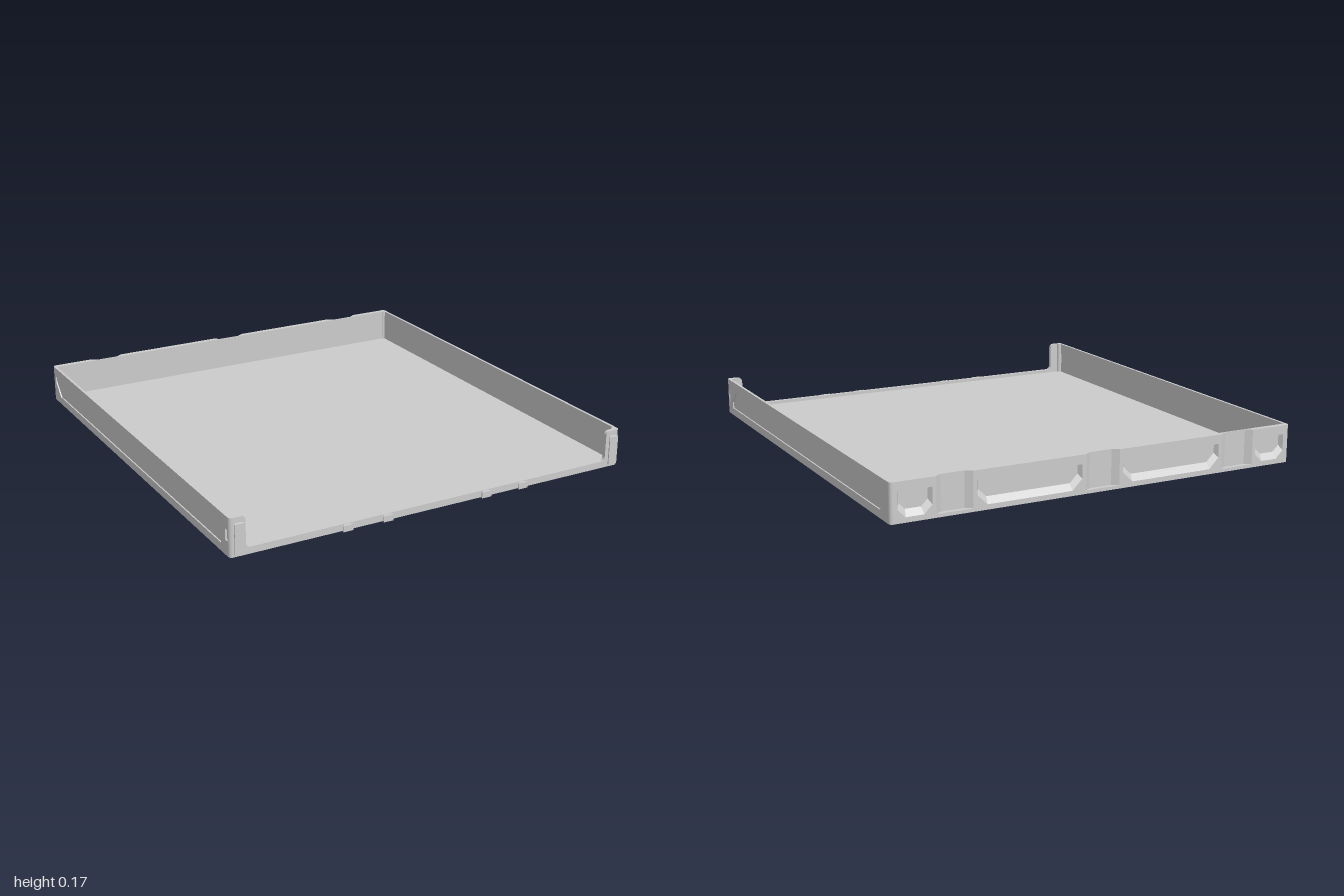
import * as THREE from 'three';

const W = 0.945, H = 0.168, BACK = -1, FRONT = 0.985, R = 0.015, FLOOR = 0.015;

export function createModel() {
  const root = new THREE.Group();
  const grey = new THREE.MeshStandardMaterial({ color: 0xcccccc });
  const thin = new THREE.MeshStandardMaterial({ color: 0xcccccc, side: THREE.DoubleSide, flatShading: true });

  const add = (name, geometry, x = 0, y = 0, z = 0, material = grey) => {
    const mesh = new THREE.Mesh(geometry, material);
    mesh.name = name;
    mesh.position.set(x, y, z);
    root.add(mesh);
    return mesh;
  };
  const poly = (pts) => new THREE.Shape(pts.map(([x, y]) => new THREE.Vector2(x, y)));
  const rect = (x0, x1, y0, y1) => [[x0, y0], [x1, y0], [x1, y1], [x0, y1]];
  const plate = (outline, depth, holes = []) => {
    const shape = poly(outline);
    shape.holes = holes.map(poly);
    return new THREE.ExtrudeGeometry(shape, { depth, bevelEnabled: false, curveSegments: 6 });
  };
  // Extrudes a plan outline (x, z) upwards
  const rise = (shape, height) =>
    new THREE.ExtrudeGeometry(shape, { depth: height, bevelEnabled: false, curveSegments: 6 })
      .rotateX(Math.PI / 2).translate(0, height, 0);

  // Floor with rounded corners
  const plan = new THREE.Shape();
  plan.moveTo(-W + R, BACK).lineTo(W - R, BACK);
  plan.absarc(W - R, BACK + R, R, -Math.PI / 2, 0);
  plan.absarc(W - R, FRONT - R, R, 0, Math.PI / 2);
  plan.absarc(-W + R, FRONT - R, R, Math.PI / 2, Math.PI);
  plan.absarc(-W + R, BACK + R, R, Math.PI, Math.PI * 1.5);
  add('floor', rise(plan, FLOOR));

  // Side walls: outer sheet cut by the long panel, inner sheet behind it
  const wall = rect(BACK + R, FRONT - R, 0, H);
  const slot = rect(0.947, 0.966, 0.064, 0.112);
  const panel = [[-0.905, 0.035], [0.91, 0.035], [0.91, 0.065], [0.855, 0.122], [-0.967, 0.122], [-0.967, 0.095]];
  const outerT = 0.006, innerT = 0.006;
  for (const s of [-1, 1]) {
    const outer = plate(wall, outerT, [panel, slot]).rotateY(-Math.PI / 2);
    const inner = plate(wall, innerT, [slot]).rotateY(-Math.PI / 2);
    add('sideWall', outer, s > 0 ? W : -W + outerT);
    add('sideWallBacking', inner, s > 0 ? W - outerT : -W + outerT + innerT);
    // Rounded corner posts
    for (const z of [BACK + R, FRONT - R]) {
      add('cornerPost', new THREE.CylinderGeometry(R, R, H, 24), s * (W - R), H / 2, z);
    }
  }

  // Back wall: plain inner sheet, then four thick blocks with sloped recesses
  add('backWall', new THREE.BoxGeometry(2 * (W - R), H, 0.006), 0, H / 2, -0.978);
  const hexagon = (x0, x1, y0, y1, c) =>
    [[x0 + c, y0], [x1 - c, y0], [x1, y0 + c], [x1, y1], [x0, y1], [x0, y0 + c]];
  const slopes = (outer, inner, z0, z1) => {
    const pos = [];
    outer.forEach((a, i) => {
      const j = (i + 1) % outer.length;
      const A = [...a, z0], B = [...outer[j], z0], C = [...inner[j], z1], D = [...inner[i], z1];
      pos.push(...A, ...C, ...B, ...A, ...D, ...C);
    });
    const g = new THREE.BufferGeometry();
    g.setAttribute('position', new THREE.Float32BufferAttribute(pos, 3));
    g.computeVertexNormals();
    return g;
  };
  const blocks = [
    { x: 0.84, half: 0.09, hole: 0.074, c: 0.035 },
    { x: 0.335, half: 0.255, hole: 0.238, c: 0.045 },
  ];
  for (const s of [-1, 1]) {
    for (const b of blocks) {
      const outer = hexagon(-b.hole, b.hole, 0.022, 0.128, b.c);
      const inner = hexagon(-b.hole + 0.012, b.hole - 0.012, 0.05, 0.122, b.c * 0.8);
      add('backBlock', plate(rect(-b.half, b.half, 0, H), 0.02, [outer]), s * b.x, 0, BACK);
      add('backRecess', slopes(outer, inner, BACK, -0.982), s * b.x, 0, 0, thin);
    }
  }
  // Sloped flanks of the three vertical channels
  for (const x of [-0.67, 0, 0.67]) {
    for (const s of [-1, 1]) {
      const flank = poly([[s * 0.08, -1], [s * 0.05, -0.98], [s * 0.08, -0.98]]);
      add('channelFlank', rise(flank, H), x);
    }
  }

  // Front frame: low lip and two corner returns with rounded corners
  const a = 0.875, lip = 0.03, r = 0.022, e = W - R;
  const frame = new THREE.Shape();
  frame.moveTo(-e, 0).lineTo(e, 0).lineTo(e, H).lineTo(a + r, H);
  frame.quadraticCurveTo(a, H, a, H - r).lineTo(a, lip + r);
  frame.quadraticCurveTo(a, lip, a - r, lip).lineTo(-a + r, lip);
  frame.quadraticCurveTo(-a, lip, -a, lip + r).lineTo(-a, H - r);
  frame.quadraticCurveTo(-a, H, -a - r, H).lineTo(-e, H);
  add('frontFrame', new THREE.ExtrudeGeometry(frame, { depth: 0.017, bevelEnabled: false, curveSegments: 6 }), 0, 0, FRONT - 0.017);

  // Front hooks, narrow at the wall and flared at the tip
  const hook = (w) => poly([
    [-w * 0.6, 0.98], [w * 0.6, 0.98], [w * 0.6, 0.987], [w, 0.995],
    [w, 1], [-w, 1], [-w, 0.995], [-w * 0.6, 0.987],
  ]);
  for (const s of [-1, 1]) {
    add('cornerHook', rise(hook(0.022), 0.13), s * 0.907, 0.014);
    for (const x of [0.24, 0.428]) add('lipHook', rise(hook(0.023), 0.027), s * x, 0.001);
  }
  return root;
}
